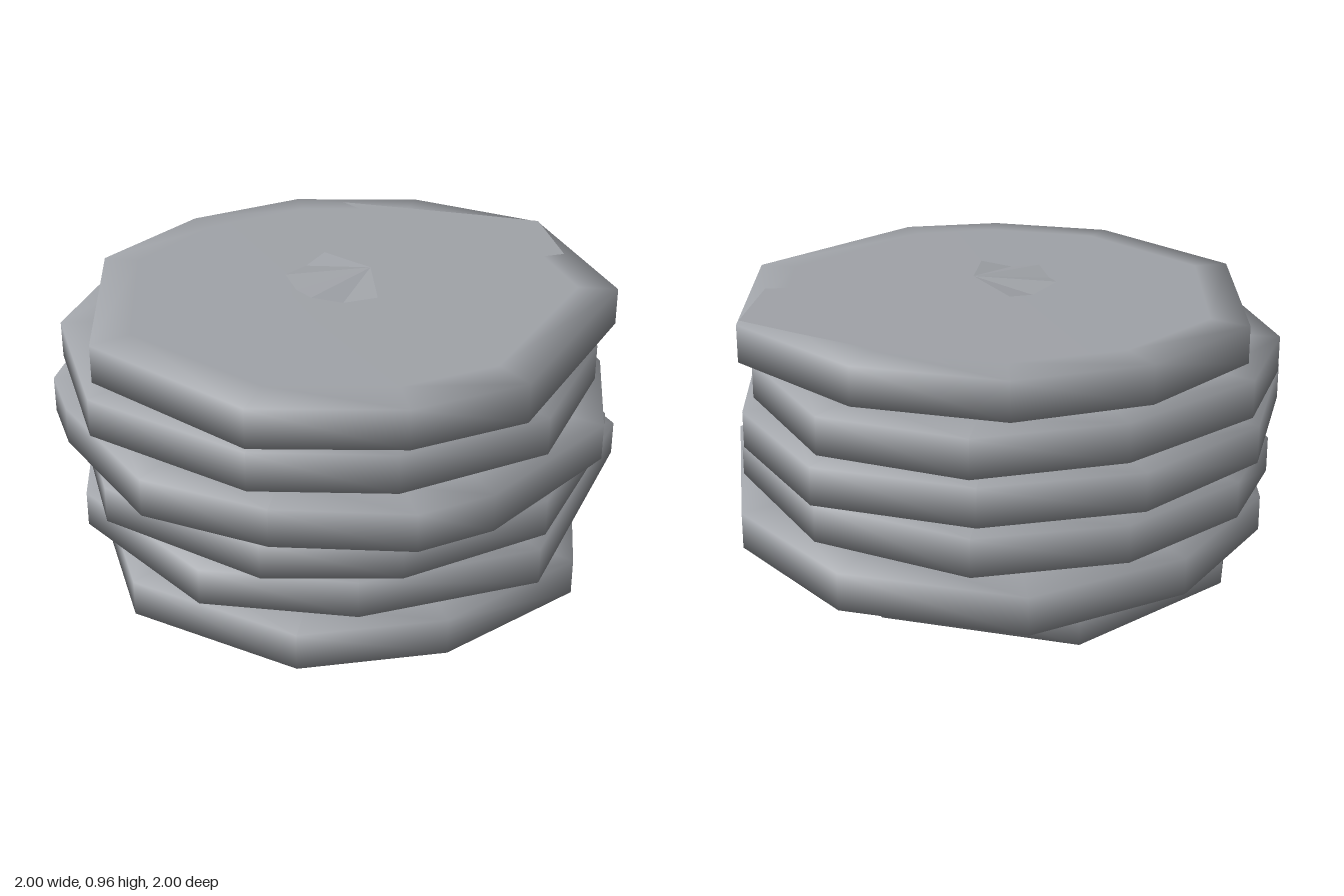
import * as THREE from 'three';

// Each pancake, bottom to top: bottom height at the middle, slopes along x and z,
// and its uneven outline, clockwise from the back (x, z)
const PANCAKES = [
  { y: 0.022, sx: 0.008, sz: 0.02, outline: [
    [-0.22, -0.8], [0.41, -0.64], [0.91, 0.04], [0.63, 0.76], [0.14, 0.96],
    [-0.33, 0.93], [-0.8, 0.55], [-0.87, 0.04], [-0.74, -0.45]] },
  { y: 0.182, sx: 0.023, sz: 0.003, outline: [
    [-0.05, -1], [0.52, -0.87], [0.87, -0.5], [1, 0.2], [0.46, 0.87],
    [-0.13, 0.9], [-0.6, 0.72], [-0.93, 0.2], [-0.88, -0.35], [-0.55, -0.77]] },
  { y: 0.332, sx: 0.02, sz: 0, outline: [
    [0.12, -0.93], [0.6, -0.72], [0.9, -0.25], [0.88, 0.36], [0.49, 0.82],
    [0, 0.93], [-0.42, 0.83], [-0.86, 0.42], [-0.93, -0.2], [-0.75, -0.55], [-0.36, -0.84]] },
  { y: 0.49, sx: -0.021, sz: -0.012, outline: [
    [0.1, -0.93], [0.6, -0.75], [0.88, -0.3], [0.92, 0.19], [0.75, 0.62], [0.27, 0.94],
    [0.02, 1], [-0.4, 0.9], [-0.75, 0.68], [-0.96, 0.22], [-1, 0], [-0.8, -0.55], [-0.4, -0.86]] },
  { y: 0.64, sx: -0.021, sz: -0.002, outline: [
    [0.12, -0.9], [0.58, -0.7], [0.85, -0.22], [0.82, 0.36], [0.48, 0.8],
    [-0.02, 0.93], [-0.45, 0.84], [-0.88, 0.45], [-0.96, -0.12], [-0.78, -0.52], [-0.35, -0.82]] },
  { y: 0.795, sx: 0.01, sz: 0.006, outline: [
    [0, -0.84], [0.47, -0.72], [0.86, -0.36], [0.89, 0.32], [0.37, 0.89],
    [0, 0.96], [-0.45, 0.85], [-0.86, 0.35], [-0.79, -0.37], [-0.43, -0.71]] },
];
const THICK = 0.13;

// Slab made of rings with shared vertices, so the rim shades softly
function pancakeGeometry({ y: y0, sx, sz, outline }) {
  const n = outline.length;
  const middle = (k) => {
    const v = outline.map((p) => p[k]);
    return (Math.min(...v) + Math.max(...v)) / 2;
  };
  const cx = middle(0), cz = middle(1);
  const rings = [[0.85, THICK], [0.995, THICK - 0.004], [1, 0]]; // scale, height
  const pos = [], idx = [];
  const add = (x, y, z) => pos.push(x, y0 + y + sx * x + sz * z, z);
  for (const [k, h] of rings) {
    for (const [x, z] of outline) add(cx + (x - cx) * k, h, cz + (z - cz) * k);
  }
  const last = (rings.length - 1) * n, top = last + n, bottom = top + 1;
  add(cx, THICK, cz);
  add(cx, 0, cz);
  for (let i = 0; i < n; i++) {
    const j = (i + 1) % n;
    idx.push(top, j, i);
    for (let a = 0; a < last; a += n) {
      const b = a + n;
      idx.push(a + j, b + j, b + i, a + j, b + i, a + i);
    }
    idx.push(bottom, last + i, last + j);
  }
  const g = new THREE.BufferGeometry();
  g.setAttribute('position', new THREE.Float32BufferAttribute(pos, 3));
  g.setIndex(idx);
  g.computeVertexNormals();
  return g;
}

// Thin jagged sheet lying on the top pancake
function sheetGeometry(topY) {
  const outline = [
    [0.17, -0.73], [0.65, -0.46], [0.85, -0.34], [0.82, 0], [0.62, 0.01], [0.29, -0.02],
    [0.18, 0.28], [0.06, 0.04], [-0.03, -0.17], [0.02, -0.2], [-0.04, -0.37], [-0.09, -0.38],
    [-0.12, -0.48], [0.34, -0.4],
  ];
  const shape = new THREE.Shape(outline.map(([x, z]) => new THREE.Vector2(x, -z)));
  const g = new THREE.ShapeGeometry(shape).rotateX(-Math.PI / 2);
  const p = g.attributes.position;
  for (let i = 0; i < p.count; i++) p.setY(i, topY(p.getX(i), p.getZ(i)) + 0.005);
  g.computeVertexNormals();
  return g;
}

// Small crumpled pat: an open pleated fan from one raised point
function patGeometry(topY) {
  const rim = [
    [0.02, -0.01], [-0.02, -0.16], [-0.1, -0.09], [-0.19, 0.01],
    [-0.17, 0.11], [-0.14, 0.22], [-0.04, 0.25], [0.07, 0.27],
  ];
  const apex = [0.1, 0.965, 0.04];
  const at = ([x, z], i) => [x, topY(x, z) + (i % 2 ? 0.028 : 0.012), z];
  const pos = [];
  for (let i = 0; i < rim.length - 1; i++) {
    pos.push(...apex, ...at(rim[i], i), ...at(rim[i + 1], i + 1));
  }
  const g = new THREE.BufferGeometry();
  g.setAttribute('position', new THREE.Float32BufferAttribute(pos, 3));
  g.computeVertexNormals();
  return g;
}

export function createModel() {
  const model = new THREE.Group();
  model.name = 'pancakeStack';
  const grey = new THREE.MeshStandardMaterial({ color: 0xa0a3a8, side: THREE.DoubleSide });
  grey.name = 'grey';

  const addMesh = (name, geometry) => {
    const mesh = new THREE.Mesh(geometry, grey);
    mesh.name = name;
    model.add(mesh);
  };

  PANCAKES.forEach((spec, i) => addMesh(`pancake${i + 1}`, pancakeGeometry(spec)));

  const t = PANCAKES[PANCAKES.length - 1];
  const topY = (x, z) => t.y + THICK + t.sx * x + t.sz * z;
  addMesh('syrup', sheetGeometry(topY));
  addMesh('butterPat', patGeometry(topY));
  return model;
}
